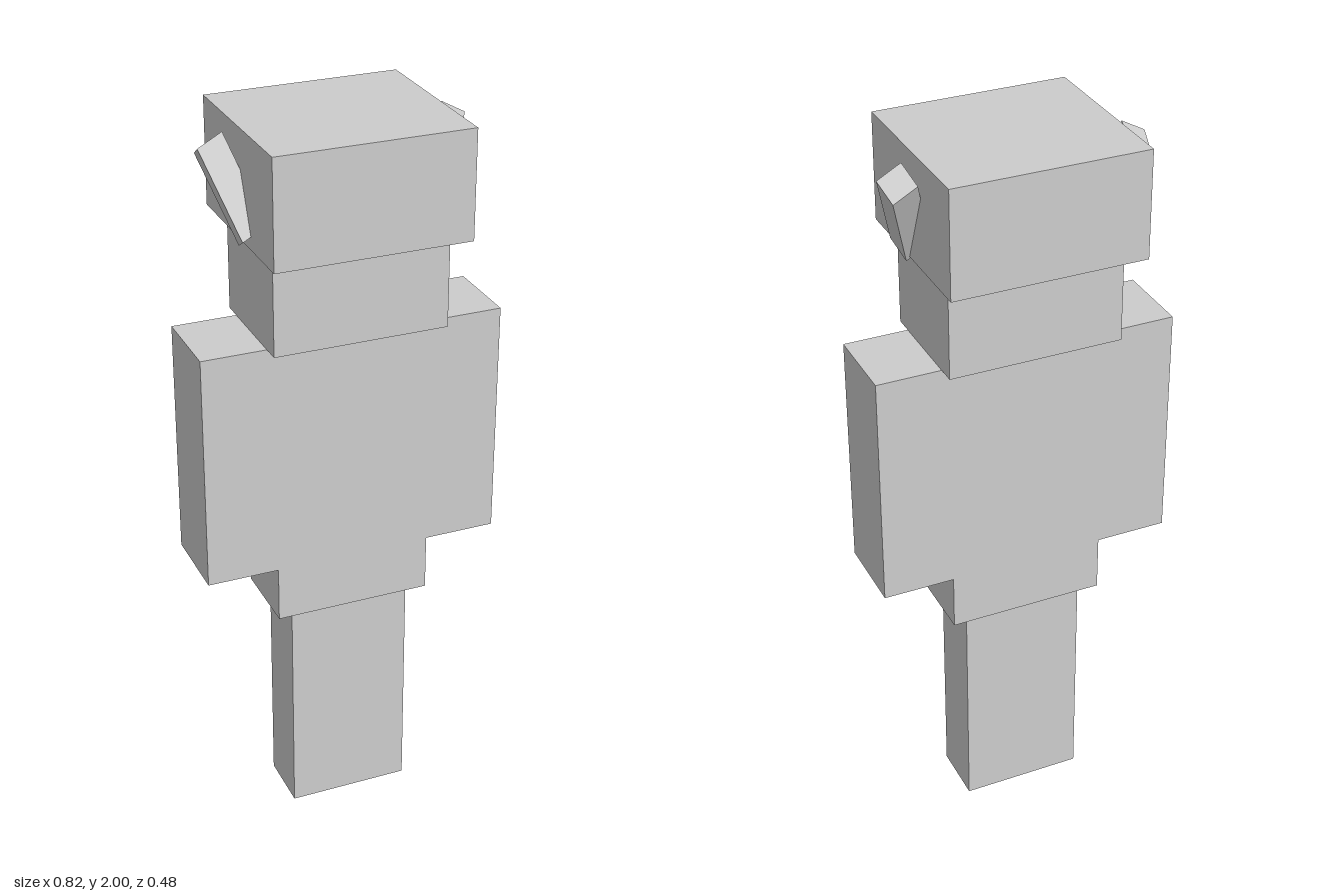
import * as THREE from 'three';

export function createModel() {
  const model = new THREE.Group();
  const lightGrey = new THREE.MeshStandardMaterial({ color: 0xcccccc });

  // Upright block: width and depth centred on the axis, from y0 up to y1
  const block = (name, width, depth, y0, y1) => {
    const mesh = new THREE.Mesh(new THREE.BoxGeometry(width, y1 - y0, depth), lightGrey);
    mesh.name = name;
    mesh.position.y = (y0 + y1) / 2;
    model.add(mesh);
  };

  block('legs', 0.336, 0.166, 0, 0.645);
  block('hips', 0.43, 0.22, 0.645, 0.8);
  block('torso', 0.822, 0.222, 0.8, 1.45);
  block('neck', 0.472, 0.322, 1.45, 1.71);
  block('head', 0.524, 0.48, 1.71, 2);

  // Slanted ears: a unit cube skewed onto three edge vectors, mirrored across x
  for (const side of [1, -1]) {
    const across = new THREE.Vector3(0.064, -0.035 * side, 0);
    const along = new THREE.Vector3(0.071 * side, 0.212, -0.108);
    const through = new THREE.Vector3(0.014 * side, 0.035, 0.068);
    const geometry = new THREE.BoxGeometry(1, 1, 1);
    geometry.applyMatrix4(new THREE.Matrix4().makeBasis(across, along, through));
    const ear = new THREE.Mesh(geometry, lightGrey);
    ear.name = side > 0 ? 'leftEar' : 'rightEar';
    ear.position.set(0.28 * side, 1.839, -0.002);
    model.add(ear);
  }

  return model;
}
